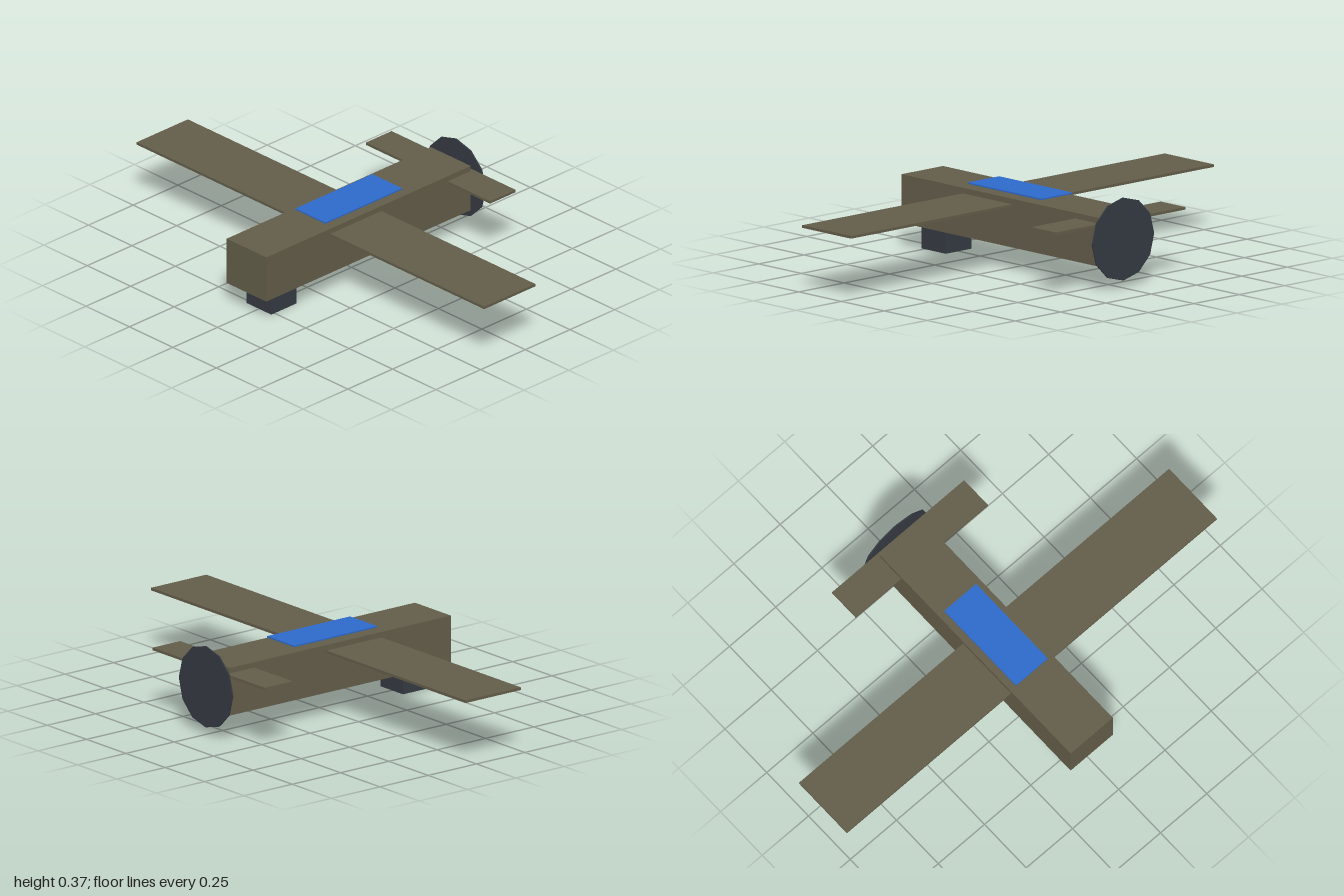
import * as THREE from 'three';

function material(name, color) {
  const m = new THREE.MeshStandardMaterial({ color });
  m.name = name;
  return m;
}

export function createModel() {
  const model = new THREE.Group();
  model.name = 'drone';

  const olive = material('olive', 0x635d49);
  const charcoal = material('charcoal', 0x353a42);
  const blue = material('blue', 0x2d6acb);

  // Box given by its extents on each axis
  function box(name, mat, [x0, x1], [y0, y1], [z0, z1]) {
    const mesh = new THREE.Mesh(new THREE.BoxGeometry(x1 - x0, y1 - y0, z1 - z0), mat);
    mesh.position.set((x0 + x1) / 2, (y0 + y1) / 2, (z0 + z1) / 2);
    mesh.name = name;
    model.add(mesh);
  }

  // Body and flying surfaces
  box('fuselage', olive, [-0.114, 0.114], [0.1, 0.3], [-0.556, 0.588]);
  box('mainWing', olive, [-1, 1], [0.266, 0.277], [-0.056, 0.23]);
  box('tailWing', olive, [-0.357, 0.357], [0.266, 0.277], [-0.571, -0.428]);

  // Top panel hovering just above the body
  box('topPanel', blue, [-0.086, 0.086], [0.312, 0.318], [-0.199, 0.23]);

  // Sensor pod under the nose
  box('sensorPod', charcoal, [-0.071, 0.071], [0, 0.1], [0.376, 0.518]);

  // Twelve-sided pusher propeller disc behind the tail
  const disc = new THREE.CylinderGeometry(0.17, 0.17, 0.006, 12).toNonIndexed();
  disc.rotateX(Math.PI / 2);
  disc.computeVertexNormals();
  const propeller = new THREE.Mesh(disc, charcoal);
  propeller.name = 'propellerDisc';
  propeller.position.set(0, 0.2, -0.585);
  model.add(propeller);

  return model;
}
